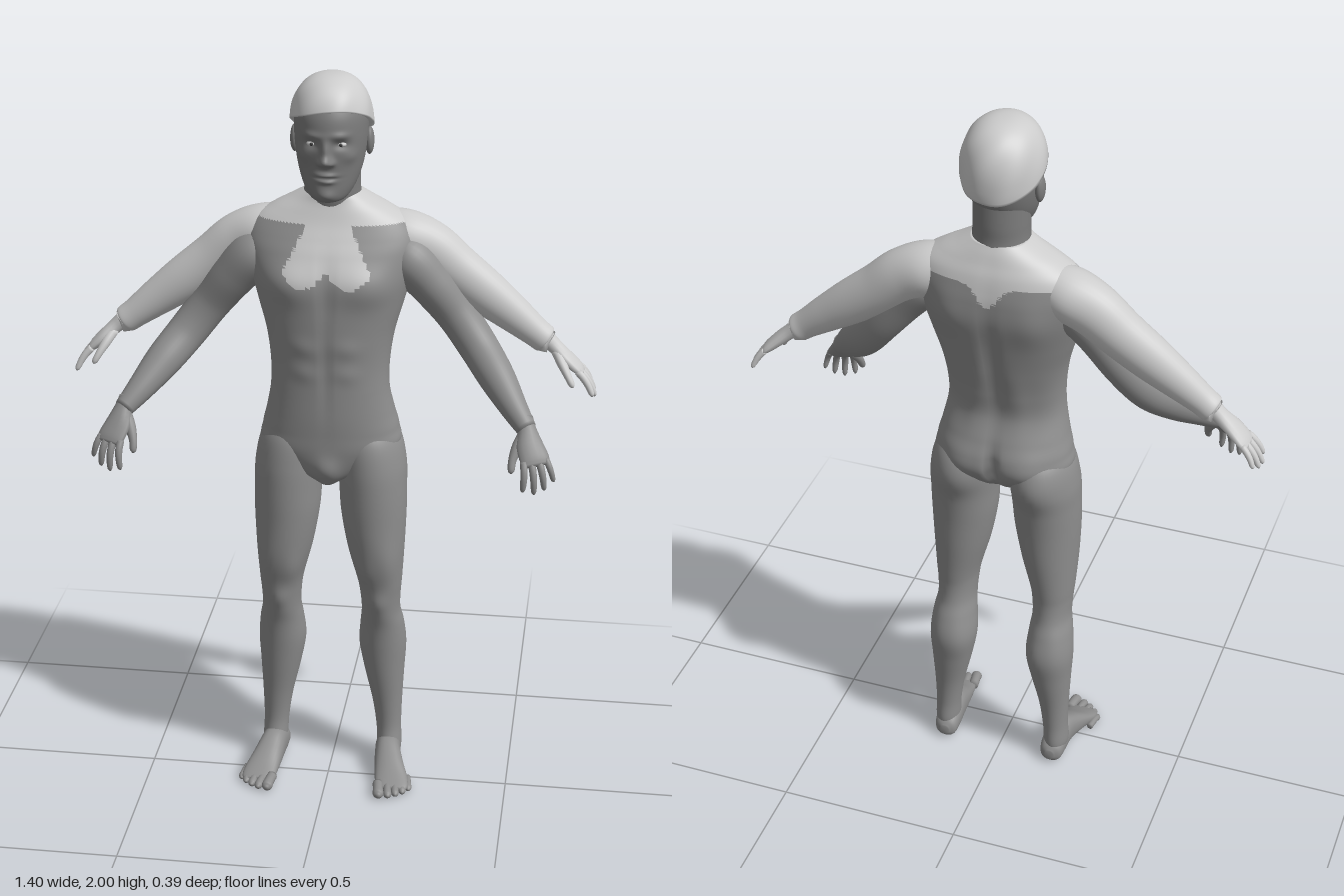
import * as THREE from 'three';
import { mergeGeometries } from 'three/addons/utils/BufferGeometryUtils.js';

const V = (x, y, z) => new THREE.Vector3(x, y, z);
const X = V(1, 0, 0), Y = V(0, 1, 0), Z = V(0, 0, 1);

// Closed skin over rings of points, capped at both ends
function skin(rings) {
  const n = rings[0].length, pos = [], idx = [];
  rings.forEach(r => r.forEach(p => pos.push(p.x, p.y, p.z)));
  for (let i = 0; i < rings.length - 1; i++) {
    for (let j = 0; j < n; j++) {
      const a = i * n + j, b = i * n + (j + 1) % n;
      idx.push(a, b, a + n, b, b + n, a + n);
    }
  }
  [0, rings.length - 1].forEach((r, end) => {
    const c = V(0, 0, 0), k = pos.length / 3;
    rings[r].forEach(p => c.addScaledVector(p, 1 / n));
    pos.push(c.x, c.y, c.z);
    for (let j = 0; j < n; j++) {
      const a = r * n + j, b = r * n + (j + 1) % n;
      if (end) idx.push(k, a, b); else idx.push(k, b, a);
    }
  });
  const g = new THREE.BufferGeometry();
  g.setAttribute('position', new THREE.Float32BufferAttribute(pos, 3));
  g.setIndex(idx);
  g.computeVertexNormals();
  return g;
}

// Smooth loft through sections [x, y, z, halfWidth, halfDepth]
function loft(secs, { seg = 32, steps = 60, ref = X, axis = null, pow = 1 } = {}) {
  const path = new THREE.CatmullRomCurve3(secs.map(s => V(s[0], s[1], s[2])), false, 'catmullrom');
  const size = new THREE.CatmullRomCurve3(secs.map(s => V(s[3], s[4], 0)), false, 'catmullrom');
  const curve = v => Math.sign(v) * Math.abs(v) ** pow;
  const rings = [];
  for (let i = 0; i <= steps; i++) {
    const c = path.getPoint(i / steps), s = size.getPoint(i / steps);
    const t = axis || path.getTangent(i / steps);
    const u = ref.clone().addScaledVector(t, -ref.dot(t)).normalize();
    const v = t.clone().cross(u);
    rings.push(Array.from({ length: seg }, (_, j) => {
      const a = j / seg * Math.PI * 2;
      return c.clone().addScaledVector(u, s.x * curve(Math.cos(a))).addScaledVector(v, s.y * curve(Math.sin(a)));
    }));
  }
  return skin(rings);
}

// Upright loft from rows [y, centreX, halfWidth, frontZ, backZ]
const upright = (rows, opt) => loft(rows.map(([y, x, w, f, b]) => [x, y, (f + b) / 2, w, (f - b) / 2]), { axis: Y, ...opt });

// Push the surface out or in around points [x, y, z, rx, ry, rz, amount]
function sculpt(g, bumps, mirrored = true) {
  const p = g.attributes.position, n = g.attributes.normal;
  const all = bumps.flatMap(b => mirrored && b[0] ? [b, [-b[0], ...b.slice(1)]] : [b]);
  for (let i = 0; i < p.count; i++) {
    const x = p.getX(i), y = p.getY(i), z = p.getZ(i);
    let d = 0;
    for (const b of all) d += b[6] * Math.exp(-(((x - b[0]) / b[3]) ** 2) - ((y - b[1]) / b[4]) ** 2 - ((z - b[2]) / b[5]) ** 2);
    p.setXYZ(i, x + n.getX(i) * d, y + n.getY(i) * d, z + n.getZ(i) * d);
  }
  g.computeVertexNormals();
  return g;
}

function mirror(g) {
  const m = g.clone().scale(-1, 1, 1), id = m.index.array;
  for (let i = 0; i < id.length; i += 3) [id[i], id[i + 1]] = [id[i + 1], id[i]];
  m.computeVertexNormals();
  return m;
}

// Hand along +y with the thumb on +x and the palm facing -z
function hand(wrist, dir, thumb, curl) {
  const o = { seg: 14, steps: 14 };
  const parts = [loft([[0, -.03, 0, .024, .023], [0, 0, 0, .025, .02], [.003, .04, 0, .035, .018], [0, .08, 0, .039, .014], [0, .1, 0, .034, .008]], { ...o, axis: Y })];
  [[.03, .078], [.01, .09], [-.01, .084], [-.029, .066]].forEach(([x, len], i) => {
    const f = [0, .3, .6, .9, 1].map((t, k) => {
      const r = .0098 * [1, .98, .9, .72, .25][k] * (i === 3 ? .88 : 1);
      return [x * (1 + .45 * t), .085 + len * t * (1 - curl * t * .25), -curl * len * t * t * .8, r, r];
    });
    parts.push(loft(f, o));
  });
  parts.push(loft([[.012, .01, -.004, .014, .014], [.034, .04, -.012, .015, .013], [.052, .068, -.02, .011, .01], [.06, .092, -.028, .009, .008], [.061, .1, -.031, .002, .002]], o));
  const y = dir.clone().normalize(), x = thumb.clone().addScaledVector(y, -thumb.dot(y)).normalize();
  const m = new THREE.Matrix4().makeBasis(x, y, x.clone().cross(y)).setPosition(wrist);
  return mergeGeometries(parts).applyMatrix4(m);
}

function ball(x, y, z, rx, ry, rz) {
  return new THREE.SphereGeometry(1, 20, 14).scale(rx, ry, rz).translate(x, y, z);
}

export function createModel() {
  const model = new THREE.Group();
  const mat = (name, color) => Object.assign(new THREE.MeshStandardMaterial({ color }), { name });
  const body = mat('mid grey', 0x8e8e8e), pale = mat('pale grey', 0xcccccc);
  const face = mat('face grey', 0x7c7c7c), dark = mat('dark grey', 0x3c3c3c);
  const add = (name, g, m) => {
    const mesh = new THREE.Mesh(g, m);
    mesh.name = name;
    model.add(mesh);
  };
  const pair = (name, g, m) => { add(name + 'Left', g, m); add(name + 'Right', mirror(g), m); };

  // Torso with muscles
  const torso = sculpt(upright([
    [.905, 0, .025, .03, -.06], [.94, 0, .1, .045, -.13], [1, 0, .182, .055, -.172], [1.05, 0, .182, .058, -.178],
    [1.1, 0, .17, .06, -.165], [1.17, 0, .157, .06, -.142], [1.24, 0, .157, .06, -.15], [1.32, 0, .168, .064, -.17], [1.4, 0, .19, .064, -.188],
    [1.48, 0, .212, .058, -.203], [1.54, 0, .225, .038, -.203], [1.58, 0, .222, .018, -.198], [1.615, 0, .2, 0, -.19],
    [1.645, 0, .155, -.012, -.178], [1.67, 0, .108, -.02, -.168], [1.69, 0, .072, -.022, -.158]
  ], { seg: 110, steps: 130, pow: .88 }), [
    [.1, 1.465, .05, .07, .05, .06, .014], [0, 1.46, .06, .014, .09, .05, -.006],
    [0, 1.25, .06, .01, .14, .05, -.005], [.055, 1.3, .06, .035, .025, .04, .004], [.055, 1.23, .06, .035, .025, .04, .004],
    [0, 1.34, -.18, .02, .18, .06, -.012], [.11, 1.5, -.2, .05, .07, .05, .008], [.06, 1.22, -.15, .03, .1, .05, .005],
    [.085, 1.02, -.17, .06, .06, .05, .014], [0, 1, -.18, .015, .07, .06, -.025], [0, .955, .045, .03, .035, .04, .012]
  ]);
  // Pale yoke and bib marked out by triangle
  const isPale = (x, y, z) => {
    if (y > 1.617) return true;
    const ax = Math.abs(x);
    if (z > -.06) return ax < .065 + .5 * (1.6 - y) && y > 1.465 + 12 * (ax - .06) ** 2;
    return y > 1.595 - .06 * Math.exp(-((x / .035) ** 2)) - (ax > .17 ? .05 : 0);
  };
  const id = torso.index.array, p = torso.attributes.position, sets = [[], []];
  for (let i = 0; i < id.length; i += 3) {
    const t = [id[i], id[i + 1], id[i + 2]];
    const mid = k => (p[k](t[0]) + p[k](t[1]) + p[k](t[2])) / 3;
    sets[isPale(mid('getX'), mid('getY'), mid('getZ')) ? 1 : 0].push(...t);
  }
  torso.setIndex([...sets[0], ...sets[1]]);
  torso.addGroup(0, sets[0].length, 0);
  torso.addGroup(sets[0].length, sets[1].length, 1);
  add('torso', torso, [body, pale]);

  // Legs
  pair('leg', sculpt(upright([
    [1.07, .1, .05, .02, -.14], [1.02, .103, .084, .045, -.172], [.95, .111, .092, .055, -.175], [.88, .115, .091, .056, -.163], [.8, .118, .088, .053, -.153],
    [.7, .125, .077, .045, -.145], [.6, .135, .061, .022, -.134], [.55, .137, .055, .01, -.13], [.5, .138, .053, 0, -.135],
    [.45, .14, .06, -.014, -.15], [.38, .141, .065, -.025, -.165], [.3, .146, .056, -.036, -.156], [.2, .155, .042, -.05, -.14],
    [.12, .16, .035, -.055, -.135], [.06, .163, .034, -.045, -.138], [.03, .163, .028, -.05, -.13]
  ].reverse(), { seg: 40, steps: 100 }), [
    [.136, .545, .01, .025, .035, .03, .008], [.1, .64, .03, .03, .05, .04, .007], [.165, .66, .03, .03, .07, .04, .006],
    [.115, .4, -.15, .03, .07, .04, .006], [.165, .42, -.15, .03, .07, .04, .005], [.1, .97, -.17, .06, .05, .04, .012]
  ]), body);

  // Feet with toes
  const foot = [loft([
    [.158, .03, -.146, .012, .014], [.159, .032, -.132, .03, .03], [.16, .042, -.1, .035, .041], [.163, .048, -.05, .036, .047],
    [.172, .037, 0, .041, .036], [.183, .023, .045, .046, .022], [.188, .015, .075, .045, .014], [.19, .012, .093, .035, .008]
  ], { seg: 28, steps: 40, axis: Z, pow: .85 })];
  [[.153, .134, .014], [.178, .128, .0105], [.198, .117, .01], [.216, .102, .0095], [.231, .083, .009]].forEach(([x, z, r]) => {
    foot.push(loft([[x - .004, r + .004, z - .06, r, r], [x, r + .004, z - .03, r, r], [x + .003, r, z - .01, r * 1.05, r], [x + .004, r, z, r * .3, r * .3]], { seg: 14, steps: 14 }));
  });
  pair('foot', mergeGeometries(foot), body);

  // Lower pair of arms, reaching forward
  pair('lowerArm', loft([
    [.15, 1.545, -.08, .05, .05], [.2, 1.515, -.08, .078, .068], [.26, 1.45, -.082, .07, .062], [.325, 1.365, -.085, .056, .054], [.385, 1.288, -.06, .05, .052],
    [.44, 1.225, -.002, .046, .048], [.49, 1.167, .058, .035, .036], [.528, 1.125, .1, .025, .026]
  ], { ref: Z, steps: 50 }), body);
  pair('lowerHand', hand(V(.528, 1.125, .1), V(.3, -.75, .58), V(-.9, -.1, .34), .6), body);

  // Upper pair of arms with sleeves, spread sideways
  pair('upperSleeve', loft([
    [.11, 1.59, -.105, .05, .05], [.18, 1.565, -.108, .072, .07], [.25, 1.532, -.112, .065, .072], [.32, 1.478, -.112, .058, .066], [.4, 1.418, -.108, .052, .06],
    [.47, 1.366, -.104, .044, .05], [.53, 1.32, -.1, .037, .04], [.558, 1.299, -.1, .036, .037], [.561, 1.297, -.1, .028, .028]
  ], { ref: Z, steps: 60 }), pale);
  pair('upperHand', hand(V(.585, 1.28, -.1), V(.74, -.67, 0), Z, .3), pale);

  // Neck
  add('neck', upright([[1.6, 0, .085, -.03, -.165], [1.66, 0, .077, -.018, -.163], [1.7, 0, .073, -.012, -.158], [1.74, 0, .072, -.01, -.158], [1.8, 0, .07, -.02, -.155]]), face);

  // Head with brow, nose, lips, cheeks and chin
  add('head', sculpt(upright([
    [1.686, 0, .02, .025, -.02], [1.695, 0, .044, .04, -.05], [1.72, 0, .064, .046, -.1], [1.76, 0, .08, .047, -.138],
    [1.81, 0, .09, .051, -.163], [1.86, 0, .094, .055, -.174], [1.91, 0, .092, .048, -.17], [1.95, 0, .074, .022, -.152],
    [1.98, 0, .03, -.02, -.11]
  ], { seg: 110, steps: 110 }), [
    [0, 1.803, .05, .014, .014, .04, .022], [0, 1.828, .05, .01, .024, .04, .012], [.014, 1.797, .05, .009, .008, .03, .008],
    [.038, 1.842, .045, .02, .012, .03, -.009], [.035, 1.866, .05, .026, .009, .03, .005],
    [0, 1.764, .05, .024, .006, .03, .008], [0, 1.747, .05, .02, .006, .03, .008], [0, 1.756, .05, .026, .003, .03, -.004],
    [0, 1.71, .045, .022, .014, .03, .008], [.06, 1.81, .03, .02, .018, .03, .005]
  ]), face);
  pair('ear', ball(.096, 1.825, -.075, .012, .036, .022).rotateY(0), face);
  pair('eye', ball(.037, 1.842, .029, .014, .008, .012), pale);
  pair('pupil', ball(.037, 1.842, .0395, .0045, .0045, .003), dark);

  // Swept hair with a hairline that drops towards the nape
  const hair = [], rows = 40, cols = 100;
  for (let i = 0; i <= rows; i++) {
    hair.push(Array.from({ length: cols }, (_, j) => {
      const a = j / cols * Math.PI * 2, line = 1.872 + .045 * Math.cos(a) + .012 * Math.sin(a) * Math.max(0, Math.cos(a));
      const th = Math.acos((line - 1.86) / .14) * (1 - Math.max(0, i - 2) / (rows - 2));
      const wave = 1 + .014 * Math.sin(7 * a + 5 * th) * Math.sin(th) ** 2;
      const s = Math.abs(Math.sin(th)) ** .82 * wave * [.82, .93][i < 2 ? i : 2] || Math.abs(Math.sin(th)) ** .82 * wave;
      const c = Math.cos(th);
      return V(.107 * s * Math.sin(a), 1.86 + .14 * Math.sign(c) * Math.abs(c) ** .85, -.065 + .126 * s * Math.cos(a));
    }));
  }
  add('hair', skin(hair), pale);
  return model;
}
